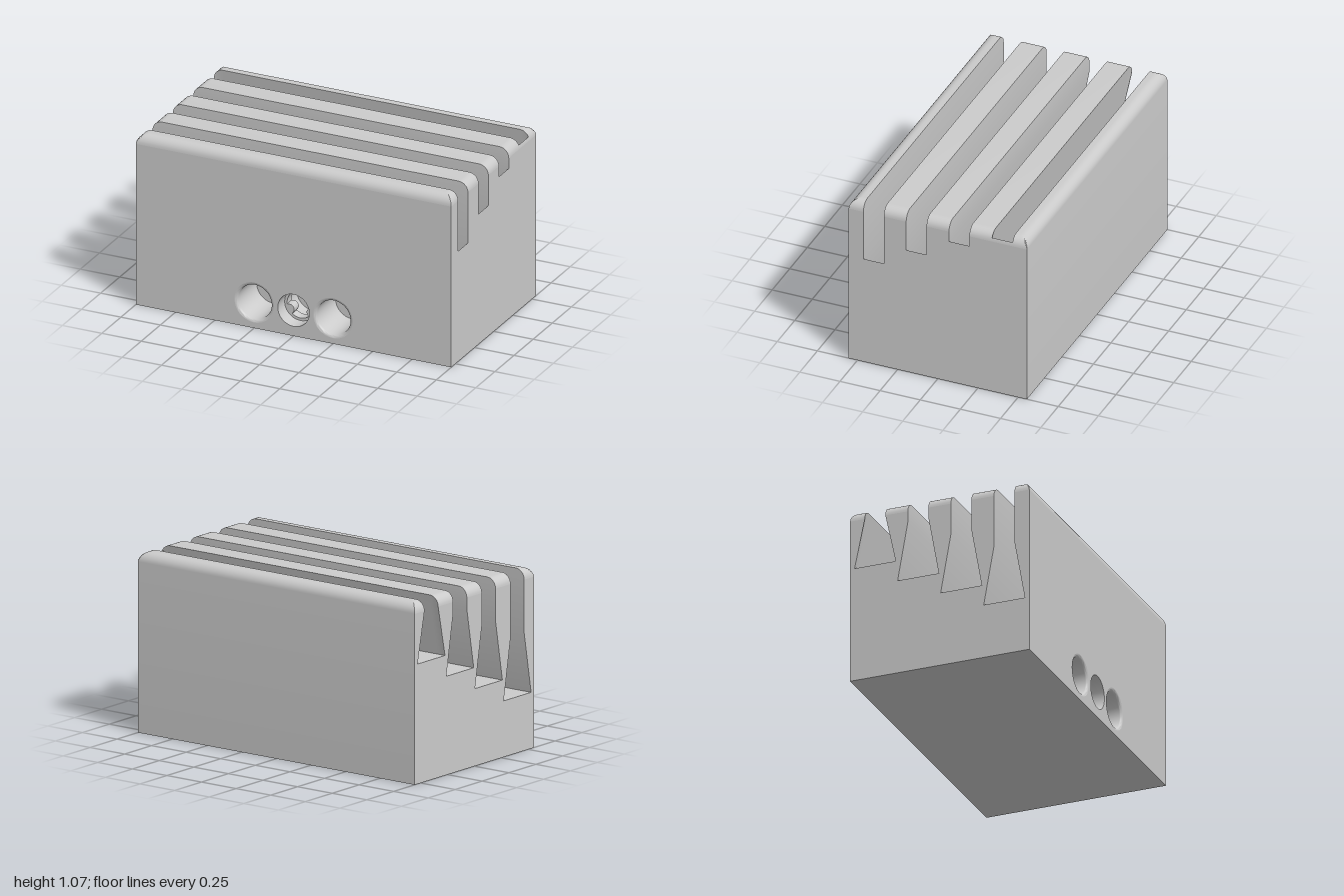
import * as THREE from 'three';
import { toCreasedNormals } from 'three/addons/utils/BufferGeometryUtils.js';

const H = 1.065, D = 0.555, R = 0.06, ARC = 8;       // height, half depth, edge rounding
const SLOT_HALF = 0.0635, FLARE = 0.064, DROP = 0.36; // slot mouth, undercut width and depth
const SLOTS = [0, 1, 2, 3].map(i => ({ z: 0.4 - i * 0.2667, y: 0.69 + i * 0.125 }));
const HOLE_Y = 0.16;

const grey = new THREE.MeshStandardMaterial({ color: 0xcccccc });
const greyDouble = new THREE.MeshStandardMaterial({ color: 0xcccccc, side: THREE.DoubleSide });

function part(name, geometry, material = grey) {
  const mesh = new THREE.Mesh(geometry, material);
  mesh.name = name;
  return mesh;
}

// Outline over the top as [z, y], from front to back, for one station along x
function section(x, cap) {
  const pts = [];
  const corner = a => [D - R + R * Math.cos(a), Math.min(cap, H - R + R * Math.sin(a))];
  for (let i = 0; i <= ARC; i++) pts.push(corner(i / ARC * Math.PI / 2));
  const ramp = Math.min(1, (1 - x) / R);
  for (const s of SLOTS) {
    const neck = Math.min(s.y, cap);
    const floor = Math.min(cap, s.y - DROP * ramp);
    const w = floor >= cap ? SLOT_HALF : SLOT_HALF + FLARE * (s.y - floor) / DROP;
    pts.push([s.z + SLOT_HALF, cap], [s.z + SLOT_HALF, neck], [s.z + w, floor],
      [s.z - w, floor], [s.z - SLOT_HALF, neck], [s.z - SLOT_HALF, cap]);
  }
  for (let i = ARC; i >= 0; i--) {
    const [z, y] = corner(i / ARC * Math.PI / 2);
    pts.push([-z, y]);
  }
  pts.push([-D, 0], [D, 0]);
  return pts;
}

// Slotted top, back and underside lofted along x
function bodyShell() {
  const stations = [];
  for (let i = 0; i <= ARC; i++) {
    const a = i / ARC * Math.PI / 2;
    stations.push([1 - R + R * Math.sin(a), H - R + R * Math.cos(a)]);
  }
  const all = [...stations.map(([x, c]) => [-x, c]).reverse(), ...stations];
  const rings = all.map(([x, cap]) => section(x, cap).map(([z, y]) => [x, y, z]));
  const pos = [];
  for (let s = 0; s < rings.length - 1; s++) {
    for (let i = 0; i < rings[s].length - 1; i++) {
      const a = rings[s][i], b = rings[s][i + 1], c = rings[s + 1][i], d = rings[s + 1][i + 1];
      pos.push(...a, ...c, ...b, ...b, ...c, ...d);
    }
  }
  const g = new THREE.BufferGeometry();
  g.setAttribute('position', new THREE.Float32BufferAttribute(pos, 3));
  return toCreasedNormals(g, 0.5);
}

// Flat end wall with the slot openings
function endWall(side) {
  const pts = section(side, H - R).map(([z, y]) => new THREE.Vector2(-side * z, y));
  const clean = pts.filter((p, i) => i === 0 || p.distanceTo(pts[i - 1]) > 1e-5);
  const g = new THREE.ShapeGeometry(new THREE.Shape(clean));
  return g.rotateY(side * Math.PI / 2).translate(side, 0, 0);
}

function circlePath(x, y, r) {
  return new THREE.Path().absarc(x, y, r, 0, Math.PI * 2, true);
}

// Front wall with three round openings
function frontWall() {
  const shape = new THREE.Shape([[-1, 0], [1, 0], [1, H - R], [-1, H - R]]
    .map(p => new THREE.Vector2(...p)));
  shape.holes.push(circlePath(-0.25, HOLE_Y, 0.125), circlePath(0, HOLE_Y, 0.1),
    circlePath(0.25, HOLE_Y, 0.125));
  return new THREE.ShapeGeometry(shape, 24).translate(0, 0, D);
}

// Blind bore turned from [radius, depth] pairs
function bore(profile, x) {
  const g = new THREE.LatheGeometry(profile.map(([r, d]) => new THREE.Vector2(r, -d)), 48);
  return toCreasedNormals(g.rotateX(Math.PI / 2), 0.6).translate(x, HOLE_Y, D);
}

// Ring whose opening has three rounded keys
function keyedRing() {
  const shape = new THREE.Shape().absarc(0, 0, 0.1, 0, Math.PI * 2, false);
  const pts = [], centre = 0.08, rad = 0.03, step = Math.PI * 2 / 3;
  for (let i = 0; i < 144; i++) {
    const t = i / 144 * Math.PI * 2;
    const off = ((t - Math.PI / 2 + step * 2.5) % step) - step / 2;
    const across = centre * Math.sin(off);
    let r = 0.084;
    if (Math.abs(across) < rad) {
      r = Math.min(r, centre * Math.cos(off) - Math.sqrt(rad * rad - across * across));
    }
    pts.push(new THREE.Vector2(r * Math.cos(t), r * Math.sin(t)));
  }
  shape.holes.push(new THREE.Path(pts));
  const g = new THREE.ExtrudeGeometry(shape, { depth: 0.06, bevelEnabled: false, curveSegments: 24 });
  return toCreasedNormals(g, 0.6).translate(0, HOLE_Y, D - 0.15);
}

export function createModel() {
  const model = new THREE.Group();
  model.name = 'slottedBlock';
  model.add(part('slottedBody', bodyShell()));
  model.add(part('rightEndWall', endWall(-1)), part('leftEndWall', endWall(1)));
  model.add(part('frontWall', frontWall()));

  // Side bores with a rounded lip
  const lip = [];
  for (let i = 0; i <= 6; i++) {
    const a = i / 6 * Math.PI / 2;
    lip.push([0.125 - 0.02 * Math.sin(a), 0.02 - 0.02 * Math.cos(a)]);
  }
  for (const x of [-0.25, 0.25]) {
    model.add(part('sideBore', bore([...lip, [0.105, 0.25], [0, 0.25]], x), greyDouble));
  }

  // Centre socket with its keyed ring
  model.add(part('centreSocket', bore([[0.1, 0], [0.1, 0.25], [0, 0.25]], 0), greyDouble));
  model.add(part('keyedRing', keyedRing()));
  return model;
}
